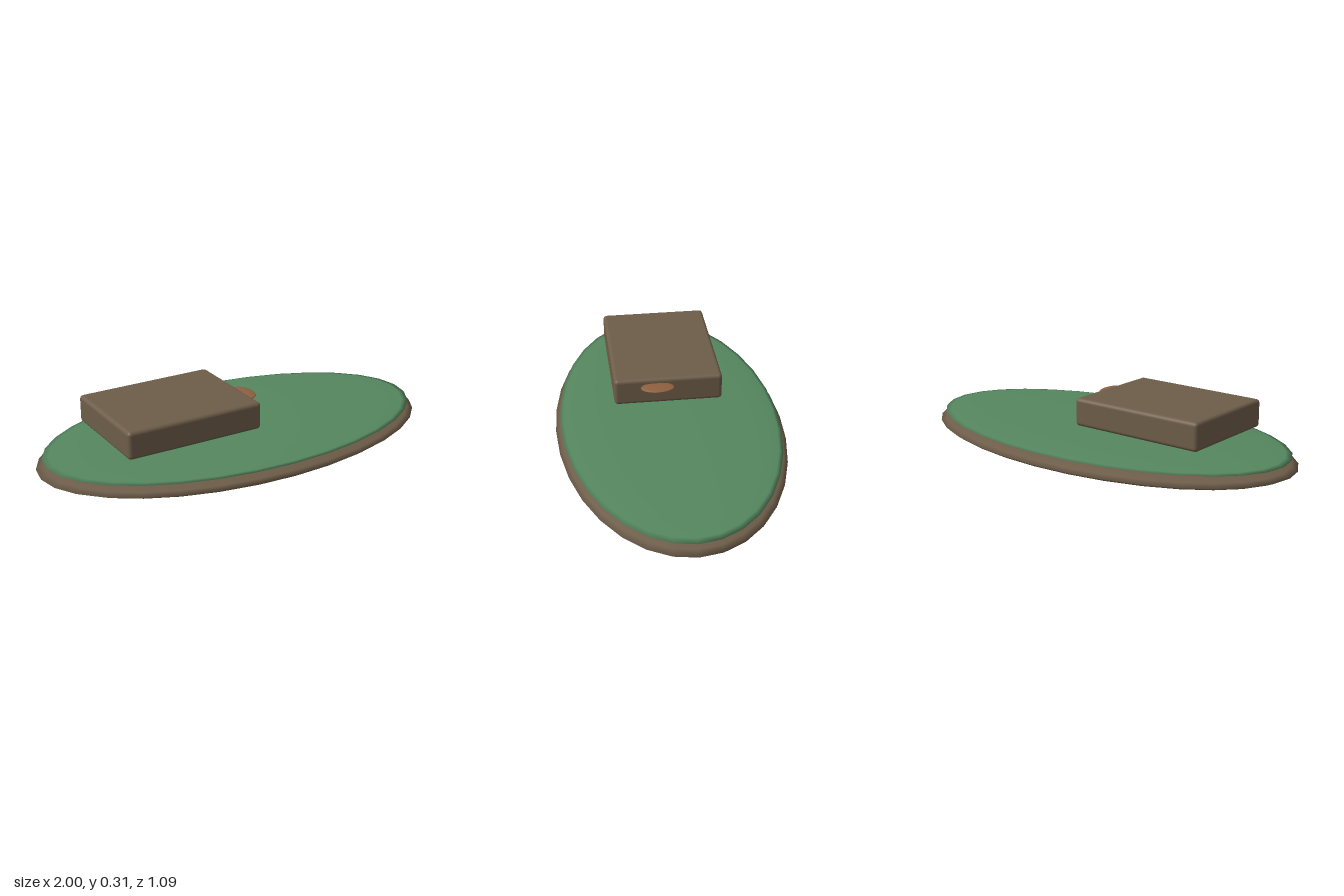
import * as THREE from 'three';
import { RoundedBoxGeometry } from 'three/addons/geometries/RoundedBoxGeometry.js';

function material(name, color) {
  const m = new THREE.MeshStandardMaterial({ color });
  m.name = name;
  return m;
}

export function createModel() {
  const group = new THREE.Group();
  const brown = material('earth brown', 0x6e5d49);
  const green = material('grass green', 0x55875f);
  const copper = material('copper brown', 0x8f6040);

  function add(name, geometry, mat, x, y, z) {
    const mesh = new THREE.Mesh(geometry, mat);
    mesh.name = name;
    mesh.position.set(x, y, z);
    group.add(mesh);
    return mesh;
  }

  // Flattened smooth ellipsoid given by its three radii
  function ellipsoid(name, mat, center, radii, segments, rings) {
    const geometry = new THREE.SphereGeometry(1, segments, rings).scale(...radii);
    return add(name, geometry, mat, ...center);
  }

  // Oval ground with a thinner grass layer on top
  ellipsoid('groundBase', brown, [0, 0.058, 0], [1, 0.057, 0.545], 32, 12);
  ellipsoid('grassLayer', green, [0, 0.104, 0], [0.97, 0.018, 0.522], 32, 12);

  // Floating block with softly rounded edges
  add('block', new RoundedBoxGeometry(0.675, 0.132, 0.518, 3, 0.018), brown, -0.352, 0.24, 0);

  // Small oval tab on the block's +x side
  ellipsoid('sideTab', copper, [0.015, 0.278, 0.056], [0.046, 0.008, 0.08], 24, 12);

  return group;
}
